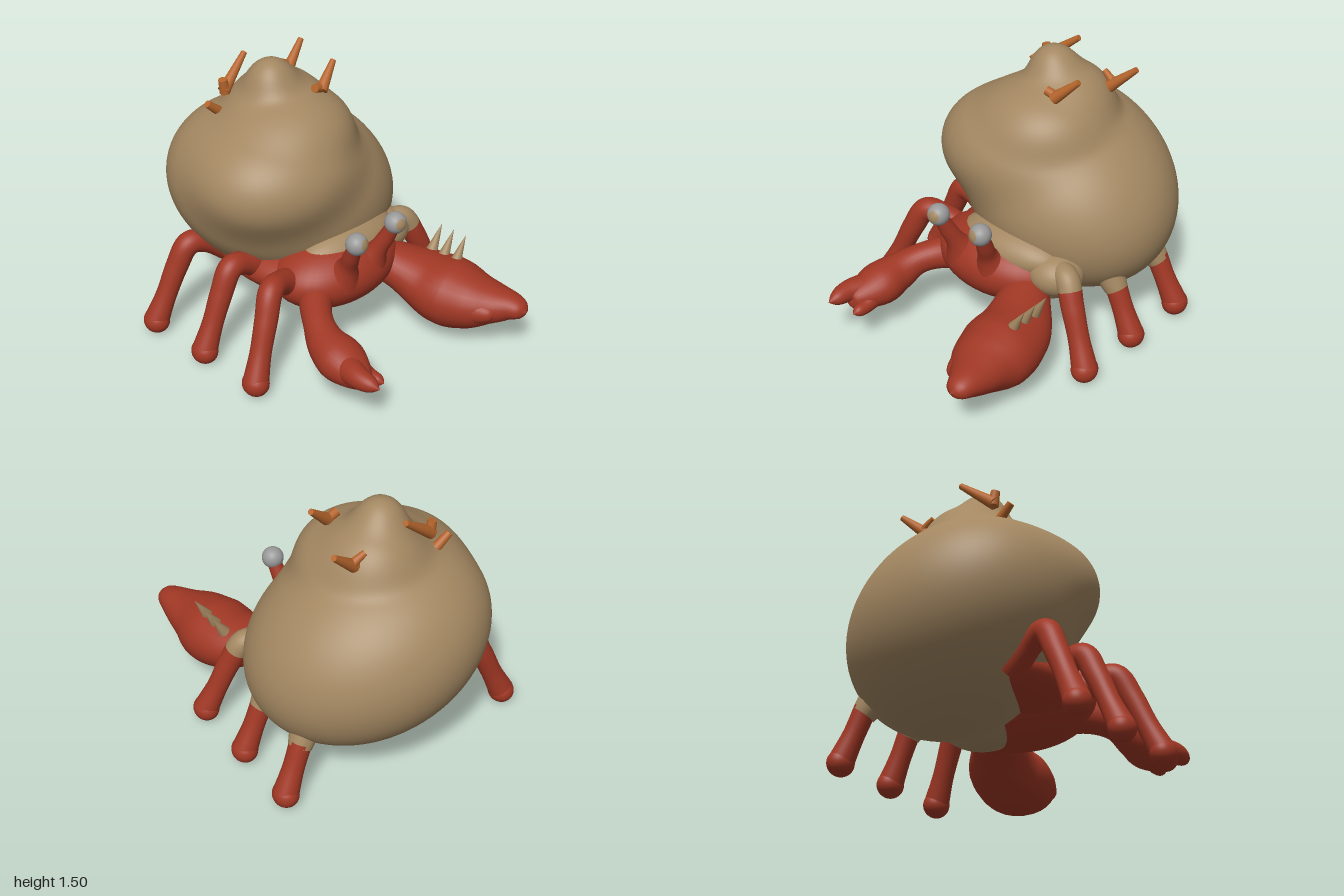
import * as THREE from 'three';
import { mergeVertices } from 'three/addons/utils/BufferGeometryUtils.js';

const V = (x, y, z) => new THREE.Vector3(x, y, z);

export function createModel() {
  const group = new THREE.Group();
  const mat = (name, color) => new THREE.MeshStandardMaterial({ name, color });
  const red = mat('crab red', 0xa03724);
  const tan = mat('shell tan', 0xa38761);
  const orange = mat('spike orange', 0xb5652c);
  const grey = mat('eye grey', 0x999999);

  const add = (name, geometry, material) => {
    const mesh = new THREE.Mesh(geometry, material);
    mesh.name = name;
    group.add(mesh);
    return mesh;
  };
  const ellipsoid = (name, material, c, r) => {
    const mesh = add(name, new THREE.SphereGeometry(1, 40, 28), material);
    mesh.position.set(...c);
    mesh.scale.set(...r);
    return mesh;
  };
  // Tapered rod or cone between two points
  const rod = (name, material, a, b, ra, rb) => {
    const A = V(...a), B = V(...b), d = B.clone().sub(A);
    const mesh = add(name, new THREE.CylinderGeometry(rb, ra, d.length(), 20), material);
    mesh.position.copy(A).add(B).multiplyScalar(0.5);
    mesh.quaternion.setFromUnitVectors(V(0, 1, 0), d.normalize());
    return mesh;
  };
  // Smooth limb through sections [x, y, z, half width, half height]
  const loft = (name, material, pts, ref = V(0, 1, 0), t0 = 0, t1 = 1) => {
    const path = new THREE.CatmullRomCurve3(pts.map(p => V(p[0], p[1], p[2])), false, 'catmullrom');
    const size = new THREE.CatmullRomCurve3(pts.map(p => V(p[3], p[4] ?? p[3], 0)), false, 'catmullrom');
    const rings = 40, sides = 28, pos = [], idx = [];
    for (let i = 0; i <= rings; i++) {
      const t = t0 + (t1 - t0) * i / rings;
      const c = path.getPoint(t), s = size.getPoint(t), T = path.getTangent(t);
      const side = ref.clone().cross(T).normalize(), up = T.clone().cross(side);
      for (let j = 0; j < sides; j++) {
        const a = j / sides * Math.PI * 2;
        const p = c.clone().addScaledVector(side, Math.max(s.x, 0.001) * Math.cos(a))
          .addScaledVector(up, Math.max(s.y, 0.001) * Math.sin(a));
        pos.push(p.x, p.y, p.z);
        if (i < rings) {
          const k = i * sides, n = (j + 1) % sides;
          idx.push(k + j, k + n, k + sides + j, k + n, k + sides + n, k + sides + j);
        }
      }
    }
    const g = new THREE.BufferGeometry();
    g.setAttribute('position', new THREE.Float32BufferAttribute(pos, 3));
    g.setIndex(idx);
    g.computeVertexNormals();
    return add(name, g, material);
  };

  // Shell: whorls melted together, reached by pushing a sphere outwards
  const whorls = [
    { c: V(0.085, 0.72, -0.42), r: V(0.67, 0.495, 0.57), tilt: -0.4, yaw: -0.25 },
    { c: V(-0.1, 0.92, -0.265), r: V(0.485, 0.33, 0.43), tilt: 0, yaw: 0 },
    { c: V(0.02, 1.11, -0.3), r: V(0.355, 0.235, 0.36), tilt: 0, yaw: 0 },
    { c: V(0.05, 1.19, -0.42), r: V(0.255, 0.22, 0.25), tilt: 0, yaw: 0 },
    { c: V(-0.01, 1.365, -0.385), r: V(0.13, 0.135, 0.13), tilt: 0, yaw: 0 },
  ];
  const zAxis = V(0, 0, 1), yAxis = V(0, 1, 0);
  const shellDistance = p => whorls.reduce((d, w) => {
    const q = p.clone().sub(w.c).applyAxisAngle(yAxis, -w.yaw).applyAxisAngle(zAxis, -w.tilt).divide(w.r);
    const k0 = q.length(), k1 = q.clone().divide(w.r).length();
    const e = k1 < 1e-6 ? -0.2 : k0 * (k0 - 1) / k1;
    const h = Math.max(0.08 - Math.abs(d - e), 0) / 0.08;
    return Math.min(d, e) - h * h * 0.08 / 4;
  }, 10);
  let shell = new THREE.SphereGeometry(1, 112, 80);
  shell.deleteAttribute('uv');
  shell.deleteAttribute('normal');
  shell = mergeVertices(shell, 1e-4);
  const core = V(0, 0.88, -0.38), vp = shell.attributes.position;
  for (let i = 0; i < vp.count; i++) {
    const dir = V().fromBufferAttribute(vp, i).normalize();
    let lo = 0, hi = 1.3;
    for (let n = 0; n < 22; n++) {
      const m = (lo + hi) / 2;
      if (shellDistance(core.clone().addScaledVector(dir, m)) < 0) lo = m; else hi = m;
    }
    const p = core.clone().addScaledVector(dir, lo);
    vp.setXYZ(i, p.x, p.y, p.z);
  }
  shell.computeVertexNormals();
  add('shell', shell, tan);

  // Body and the shell lip around it
  ellipsoid('body', red, [0.02, 0.42, 0.06], [0.4, 0.2, 0.28]);
  ellipsoid('abdomen', red, [-0.18, 0.42, -0.2], [0.22, 0.12, 0.4]);
  ellipsoid('shellLip', tan, [0.1, 0.53, 0.07], [0.33, 0.135, 0.175]);
  ellipsoid('shellLipSide', tan, [0.39, 0.47, 0.06], [0.16, 0.12, 0.15]);
  ellipsoid('shellLipUnder', tan, [0.2, 0.4, -0.05], [0.28, 0.185, 0.22]);

  // Legs: three each side, the model's left ones sheathed in tan near the shell
  for (const s of [-1, 1]) {
    [[0.2, 0.11, 0.03], [-0.2, -0.2, -0.2], [-0.6, -0.54, -0.48]].forEach(([zf, zk, zi], i) => {
      const pts = [
        [s * 0.25, 0.4, zi, 0.09], [s * 0.4, 0.49, (zi + zk) / 2, 0.066],
        [s * 0.51, 0.505, zk, 0.066], [s * 0.58, 0.38, zk + (zf - zk) * 0.4, 0.062],
        [s * 0.65, 0.22, zk + (zf - zk) * 0.7, 0.058], [s * 0.715, 0.075, zf, 0.07],
      ];
      const split = s < 0 ? 0.22 : i === 0 ? 0.5 : 0.64;
      loft('legUpper', s < 0 ? red : tan, pts, zAxis, 0, split);
      loft('legLower', red, pts, zAxis, split, 1);
      ellipsoid('foot', red, [s * 0.715, 0.071, zf], [0.07, 0.071, 0.076]);
      // Flared sheath where the leg leaves the shell
      if (s > 0 && i > 0) loft('legSheath', tan, [[0.47, 0.53, zk, 0.15], [0.535, 0.43, zk, 0.092],
        [0.605, 0.32, zk + (zf - zk) * 0.5, 0.063]], zAxis);
    });
  }

  // Big claw with a short side finger
  loft('bigClaw', red, [
    [0.24, 0.39, 0.1, 0.1, 0.11], [0.33, 0.34, 0.25, 0.15, 0.12], [0.4, 0.28, 0.4, 0.2, 0.16],
    [0.43, 0.255, 0.55, 0.215, 0.185], [0.45, 0.26, 0.68, 0.185, 0.16], [0.485, 0.275, 0.8, 0.135, 0.11],
    [0.51, 0.29, 0.9, 0.09, 0.075], [0.515, 0.29, 0.97, 0.055, 0.045], [0.515, 0.29, 1.0, 0, 0],
  ]);
  loft('bigClawFinger', red, [
    [0.36, 0.25, 0.62, 0.1], [0.38, 0.26, 0.75, 0.08], [0.395, 0.27, 0.85, 0.045], [0.4, 0.27, 0.885, 0],
  ]);
  for (const z of [0.35, 0.435, 0.52]) rod('clawSpine', tan, [0.49, 0.4, z], [0.57, 0.54, z], 0.034, 0.001);

  // Small claw with two fingers
  loft('smallClaw', red, [
    [-0.15, 0.39, 0.12, 0.12], [-0.28, 0.37, 0.21, 0.09], [-0.37, 0.34, 0.32, 0.082],
    [-0.42, 0.29, 0.43, 0.105], [-0.44, 0.265, 0.55, 0.13, 0.112], [-0.455, 0.25, 0.66, 0.1, 0.085],
    [-0.46, 0.24, 0.74, 0.05], [-0.46, 0.24, 0.76, 0],
  ]);
  loft('smallClawFingerOuter', red, [
    [-0.47, 0.27, 0.62, 0.075], [-0.5, 0.28, 0.73, 0.06], [-0.5, 0.28, 0.82, 0.04], [-0.5, 0.28, 0.875, 0],
  ]);
  loft('smallClawFingerInner', red, [
    [-0.41, 0.24, 0.62, 0.06], [-0.395, 0.22, 0.71, 0.042], [-0.39, 0.22, 0.77, 0.03], [-0.39, 0.22, 0.805, 0],
  ]);

  // Eyes on stalks, each with a tan patch
  for (const s of [-1, 1]) {
    loft('eyeStalk', red, [[s * 0.105, 0.46, 0.23, 0.11], [s * 0.115, 0.56, 0.285, 0.056],
      [s * 0.135, 0.65, 0.33, 0.045], [s * 0.148, 0.73, 0.365, 0.038]], zAxis);
    ellipsoid('eye', grey, [s * 0.148, 0.752, 0.378], [0.06, 0.06, 0.06]);
    const patch = add('eyePatch', new THREE.SphereGeometry(0.0608, 24, 8, 0, Math.PI * 2, 0, 0.55), tan);
    patch.position.set(s * 0.148, 0.752, 0.378);
    patch.quaternion.setFromUnitVectors(yAxis, V(-s * 0.2, 0.2, 0.95).normalize());
  }

  // Spikes stuck on the shell, with their stubs
  const spikes = [
    [[0.16, 1.325, -0.18], [0.29, 1.445, -0.22]],
    [[0.25, 1.29, -0.53], [0.395, 1.42, -0.57]],
    [[-0.2, 1.32, -0.55], [-0.01, 1.47, -0.59]],
  ];
  for (const [a, b] of spikes) rod('shellSpike', orange, a, b, 0.034, 0.016);
  rod('spikeStub', orange, [0.11, 1.355, -0.18], [0.19, 1.33, -0.19], 0.024, 0.026);
  rod('spikeStub', orange, [0.2, 1.36, -0.55], [0.28, 1.31, -0.54], 0.016, 0.026);
  rod('spikeStub', orange, [-0.205, 1.39, -0.55], [-0.19, 1.31, -0.55], 0.024, 0.03);
  rod('spikeStub', orange, [-0.31, 1.28, -0.56], [-0.22, 1.2, -0.55], 0.02, 0.028);

  return group;
}
